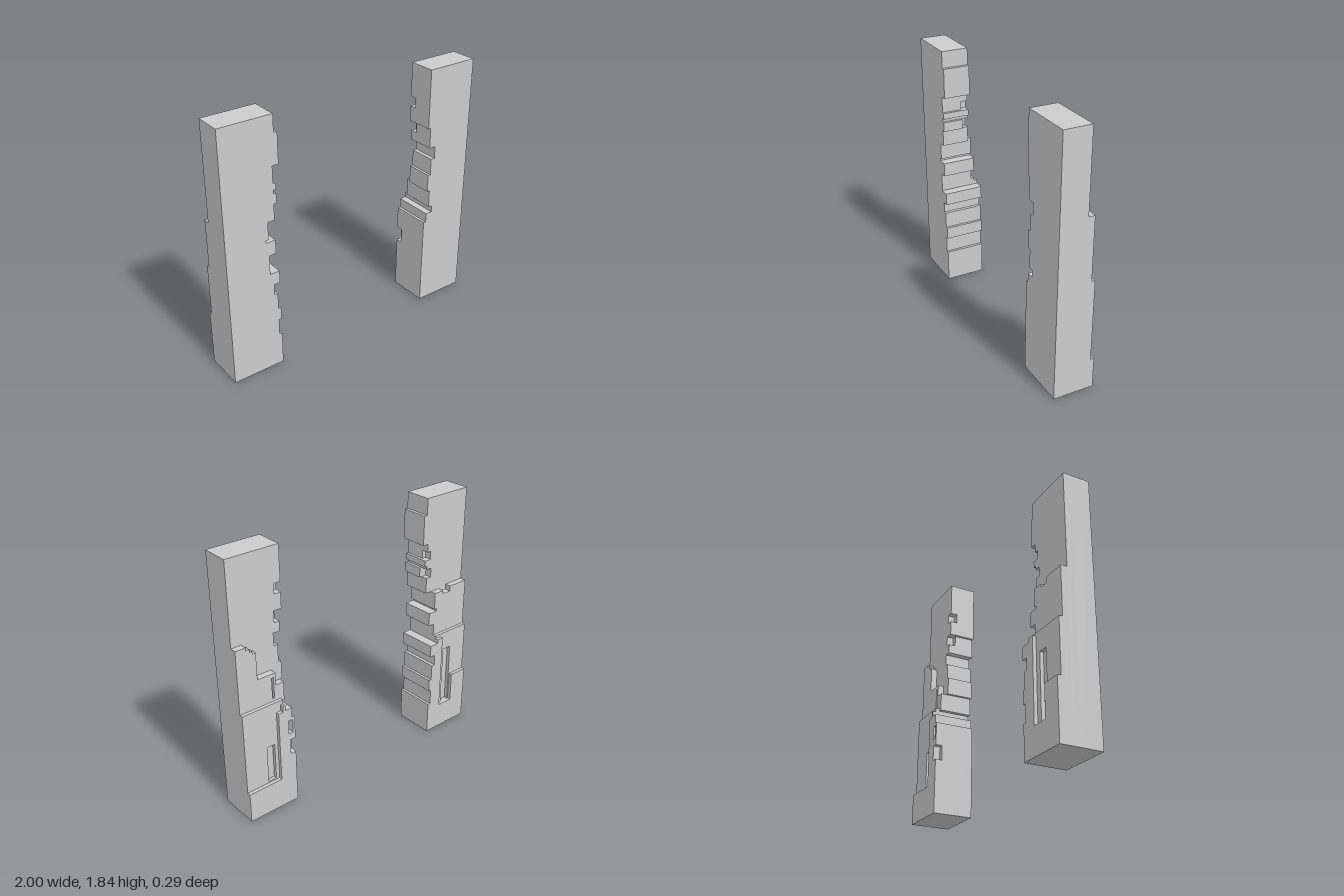
import * as THREE from 'three';

const material = new THREE.MeshStandardMaterial({ color: 0xcccccc, flatShading: true });

// One vertical slab: bands [top, inner x] climb the broken edge, the crest closes the top out to x = 1.
function slab(name, side, zFront, zBack, bands, crest, holes = []) {
  const points = [[1, 0]];
  let y = 0;
  for (const [top, x] of bands) {
    points.push([x, y], [x, top]);
    y = top;
  }
  points.push(...crest);
  const toVectors = list => list.map(([x, h]) => new THREE.Vector2(side * x, h));
  const shape = new THREE.Shape(toVectors(points));
  for (const [x0, x1, y0, y1] of holes) {
    shape.holes.push(new THREE.Path(toVectors([[x0, y0], [x1, y0], [x1, y1], [x0, y1]])));
  }
  const geometry = new THREE.ExtrudeGeometry(shape, { depth: zFront - zBack, bevelEnabled: false });
  geometry.translate(0, 0, zBack);
  const mesh = new THREE.Mesh(geometry, material);
  mesh.name = name;
  return mesh;
}

function pillar(name, side, layers) {
  const group = new THREE.Group();
  group.name = name;
  for (const [part, zFront, zBack, bands, crest, holes] of layers) {
    group.add(slab(part, side, zFront, zBack, bands, crest, holes));
  }
  return group;
}

export function createModel() {
  const model = new THREE.Group();
  model.name = 'brokenPillars';
  const top = [[1, 1.835]];

  // Left pillar: broken edge shared by the core, with extra bites at the back
  const leftLow = [[0.67, 0.62], [0.74, 0.64], [0.79, 0.69], [0.92, 0.66]];
  const leftMid = [...leftLow, [1.05, 0.64], [1.17, 0.66], [1.26, 0.69]];
  const leftBitten = [[0.39, 0.62], [0.5, 0.66], [0.67, 0.62], [0.74, 0.64]];
  model.add(pillar('leftPillar', 1, [
    ['frontCore', 0.145, 0, [...leftMid, [1.41, 0.64], [1.835, 0.62]], top],
    ['rearCore', 0, -0.05,
      [...leftMid, [1.33, 0.64], [1.41, 0.68], [1.52, 0.62], [1.59, 0.67], [1.835, 0.62]], top],
    ['upperBackLayer', -0.05, -0.095, [...leftLow, [1.01, 0.72]],
      [[0.855, 1.01], [0.855, 1.2], [0.88, 1.2], [0.88, 1.22], [0.9, 1.22], [0.9, 1.24],
        [0.925, 1.24], [0.925, 1.26], [1, 1.26]],
      [[0.735, 0.75, 0.83, 0.98]]],
    ['middleBackLayer', -0.095, -0.12, [...leftBitten, [0.81, 0.69]], [[1, 0.81]],
      [[0.77, 0.83, 0.23, 0.5], [0.637, 0.67, 0.55, 0.65]]],
    ['lowerBackLayer', -0.12, -0.145, [...leftBitten, [0.78, 0.69]],
      [[0.71, 0.78], [0.71, 0.735], [0.745, 0.735], [0.745, 0.22], [1, 0.22]],
      [[0.637, 0.67, 0.55, 0.65]]],
  ]));

  // Right pillar: finer teeth along the broken edge
  const rightLow = [[0.24, 0.62], [0.36, 0.64], [0.45, 0.62], [0.57, 0.64], [0.65, 0.665], [0.74, 0.62]];
  const rightMid = [...rightLow, [0.88, 0.69], [0.98, 0.64], [1.0, 0.71], [1.125, 0.69]];
  const rightTop = [[1.5, 0.64], [1.715, 0.595], [1.835, 0.62]];
  model.add(pillar('rightPillar', -1, [
    ['frontCore', 0.145, 0,
      [...rightMid, [1.24, 0.64], [1.31, 0.62], [1.335, 0.64], [1.38, 0.62], ...rightTop], top],
    ['rearCore', 0, -0.05,
      [...rightMid, [1.24, 0.64], [1.31, 0.68], [1.335, 0.64], [1.38, 0.62], [1.44, 0.67], ...rightTop], top],
    ['upperBackLayer', -0.05, -0.095, rightMid,
      [[0.77, 1.125], [0.77, 1.1], [0.84, 1.1], [0.84, 1.14], [1, 1.14]]],
    ['middleBackLayer', -0.095, -0.12, [...rightLow, [0.79, 0.69]], [[1, 0.79]],
      [[0.78, 0.85, 0.19, 0.65]]],
    ['lowerBackLayer', -0.12, -0.145, [...rightLow, [0.77, 0.69]],
      [[0.74, 0.77], [0.74, 0.19], [0.86, 0.19], [0.86, 0.41], [1, 0.41]]],
  ]));

  return model;
}
